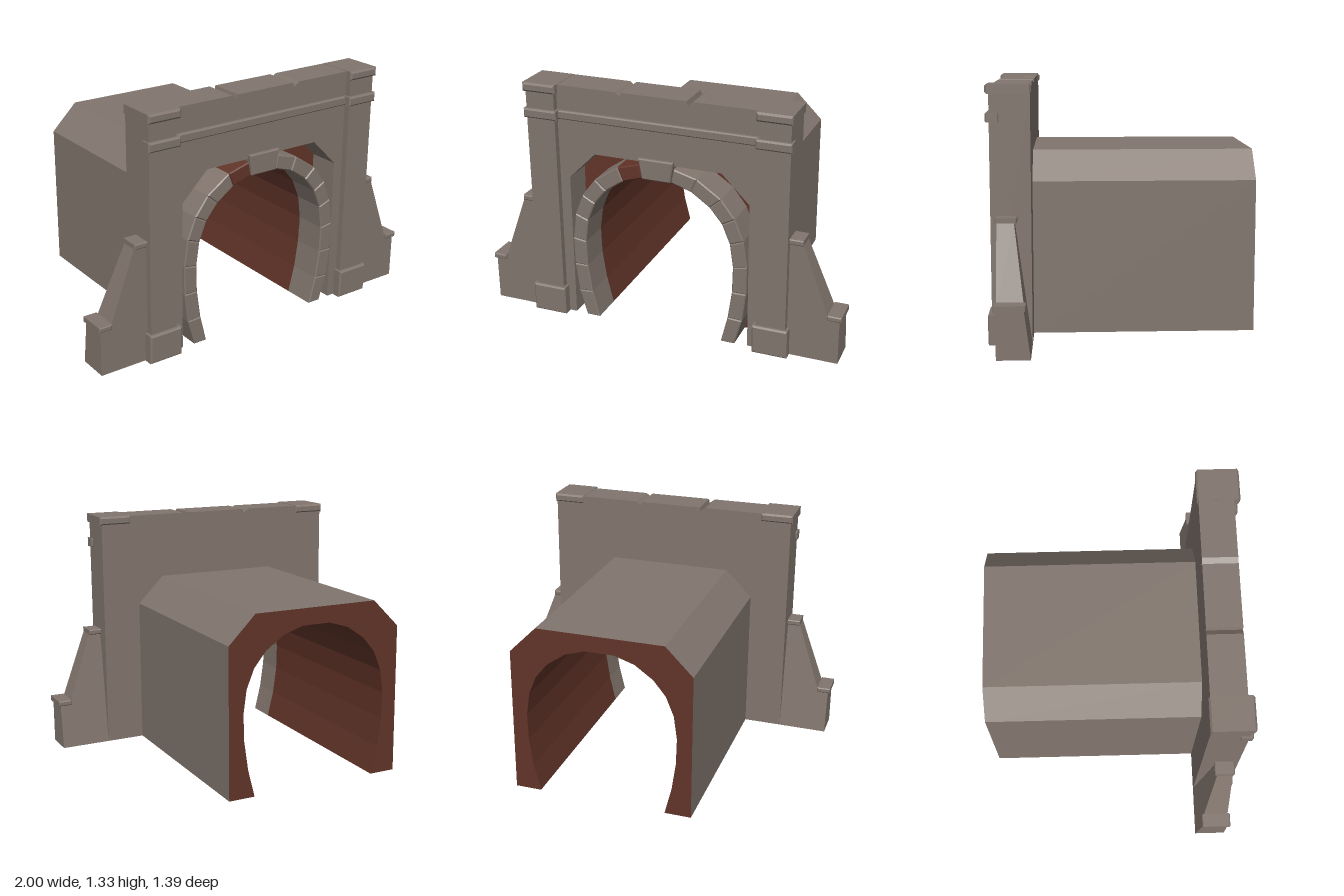
import * as THREE from 'three';

const stone = new THREE.MeshStandardMaterial({ color: 0x82766e });
stone.name = 'grey stone';
const brick = new THREE.MeshStandardMaterial({ color: 0x623429 });
brick.name = 'red brick';
const brickTwoSided = brick;

const shapeOf = pts => new THREE.Shape(pts.map(p => new THREE.Vector2(p[0], p[1])));

// Prism with a front profile in x/y, running from z0 to z1, edges chamfered by b
function prism(name, pts, z0, z1, b = 0, mat = stone) {
  const geo = new THREE.ExtrudeGeometry(shapeOf(pts), {
    depth: z1 - z0 - 2 * b, bevelEnabled: b > 0, bevelSegments: 1,
    bevelSize: b, bevelThickness: b, bevelOffset: -b,
  });
  geo.translate(0, 0, z0 + b);
  const mesh = new THREE.Mesh(geo, mat);
  mesh.name = name;
  return mesh;
}

function block(name, x0, x1, y0, y1, z0, z1, b = 0) {
  return prism(name, [[x0, y0], [x1, y0], [x1, y1], [x0, y1]], z0, z1, b);
}

// Open strip of flat faces along a path in x/y; faces lie right of the path
function strip(name, pts, z0, z1, mat) {
  const v = [];
  for (let i = 0; i < pts.length - 1; i++) {
    const [a, c] = pts[i], [d, e] = pts[i + 1];
    v.push(a, c, z1, a, c, z0, d, e, z0, a, c, z1, d, e, z0, d, e, z1);
  }
  const geo = new THREE.BufferGeometry();
  geo.setAttribute('position', new THREE.Float32BufferAttribute(v, 3));
  geo.computeVertexNormals();
  const mesh = new THREE.Mesh(geo, mat);
  mesh.name = name;
  return mesh;
}

// Right half of the horseshoe arch, from the ground up: inner and outer joints
const inner = [[0.355, 0], [0.392, 0.15], [0.414, 0.305], [0.418, 0.45], [0.4, 0.578],
  [0.357, 0.683], [0.29, 0.765], [0.19, 0.835], [0.08, 0.87]];
const outer = [[0.43, 0], [0.472, 0.145], [0.492, 0.305], [0.494, 0.462], [0.474, 0.606],
  [0.427, 0.722], [0.352, 0.82], [0.22, 0.91], [0.095, 0.945]];
const mirror = pts => pts.map(([x, y]) => [-x, y]);
const octagon = [[0.5, 0], [0.5, 0.81], [0.35, 0.96], [-0.35, 0.96], [-0.5, 0.81], [-0.5, 0]];
const BACK = -0.7, WALL = 0.47;

function tunnel() {
  const g = new THREE.Group();
  g.name = 'tunnel';
  const arch = [...mirror(inner), ...[...inner].reverse()]; // left foot to right foot
  g.add(strip('tunnelLining', arch, BACK, WALL, brickTwoSided));
  g.add(strip('tunnelShell', [arch.at(-1), ...octagon, arch[0]], BACK, WALL, stone));
  const front = new THREE.Mesh(new THREE.ShapeGeometry(shapeOf([...octagon, ...arch])), brick);
  front.name = 'tunnelFrontEnd';
  front.position.z = WALL;
  const back = front.clone();
  back.name = 'tunnelBackEnd';
  back.rotation.y = Math.PI;
  back.position.z = BACK;
  g.add(front, back);
  return g;
}

function archRing() {
  const g = new THREE.Group();
  g.name = 'archRing';
  for (const s of [1, -1]) {
    for (let i = 0; i < inner.length - 1; i++) {
      const quad = [inner[i], outer[i], outer[i + 1], inner[i + 1]].map(([x, y]) => [s * x, y]);
      // one stone beside the keystone is bare brick
      const bare = s < 0 && i === inner.length - 2;
      g.add(prism('archStone', quad, WALL - 0.008, 0.65, 0.006, bare ? brick : stone));
    }
  }
  g.add(prism('keystone', [[-0.078, 0.87], [0.078, 0.87], [0.097, 0.982], [-0.097, 0.982]],
    WALL, 0.66, 0.006));
  return g;
}

// Pilaster, its mouldings and the stepped wing wall on side s
function side(s) {
  const g = new THREE.Group();
  g.name = s > 0 ? 'leftSide' : 'rightSide';
  const b = (name, x0, x1, ...rest) => g.add(block(name, Math.min(s * x0, s * x1), Math.max(s * x0, s * x1), ...rest));
  b('pilaster', 0.555, 0.715, 0, 1.28, WALL, 0.675);
  b('pilasterBase', 0.54, 0.73, 0, 0.158, 0.635, 0.695, 0.008);
  b('pilasterBelt', 0.54, 0.725, 1.135, 1.185, 0.625, 0.695, 0.008);
  b('pilasterCap', 0.54, 0.725, 1.277, 1.325, 0.463, 0.695, 0.01);

  const profile = [[0.7, 0], [0.988, 0], [0.988, 0.25], [0.93, 0.25], [0.787, 0.64], [0.7, 0.64]];
  const wing = prism('wingWall', profile.map(([x, y]) => [s * x, y]), WALL, 0.64);
  // lean the rear face forward as it rises
  const p = wing.geometry.attributes.position;
  for (let i = 0; i < p.count; i++) {
    if (p.getZ(i) < 0.5) p.setZ(i, WALL + 0.13 * p.getY(i));
  }
  wing.geometry.computeVertexNormals();
  g.add(wing);
  b('wingUpperCap', 0.705, 0.787, 0.636, 0.665, 0.54, 0.65, 0.005);
  b('wingLowerCap', 0.925, 1, 0.246, 0.274, 0.492, 0.652, 0.005);
  return g;
}

export function createModel() {
  const model = new THREE.Group();
  model.name = 'tunnelPortal';
  model.add(tunnel(), archRing(), side(1), side(-1));

  // Portal wall with its opening
  model.add(prism('portalWall',
    [[0.6, 0], [0.6, 1.28], [-0.6, 1.28], [-0.6, 0], ...[...octagon].reverse()], WALL, 0.64));
  model.add(block('belt', -0.56, 0.56, 1.137, 1.183, 0.625, 0.66, 0.006));

  // Coping with two nicked joints
  model.add(prism('coping', [[-0.56, 1.277], [0.56, 1.277], [0.56, 1.323], [0.21, 1.323],
    [0.18, 1.3], [0.174, 1.323], [-0.179, 1.323], [-0.185, 1.3], [-0.215, 1.323],
    [-0.56, 1.323]], WALL, 0.66));
  return model;
}
